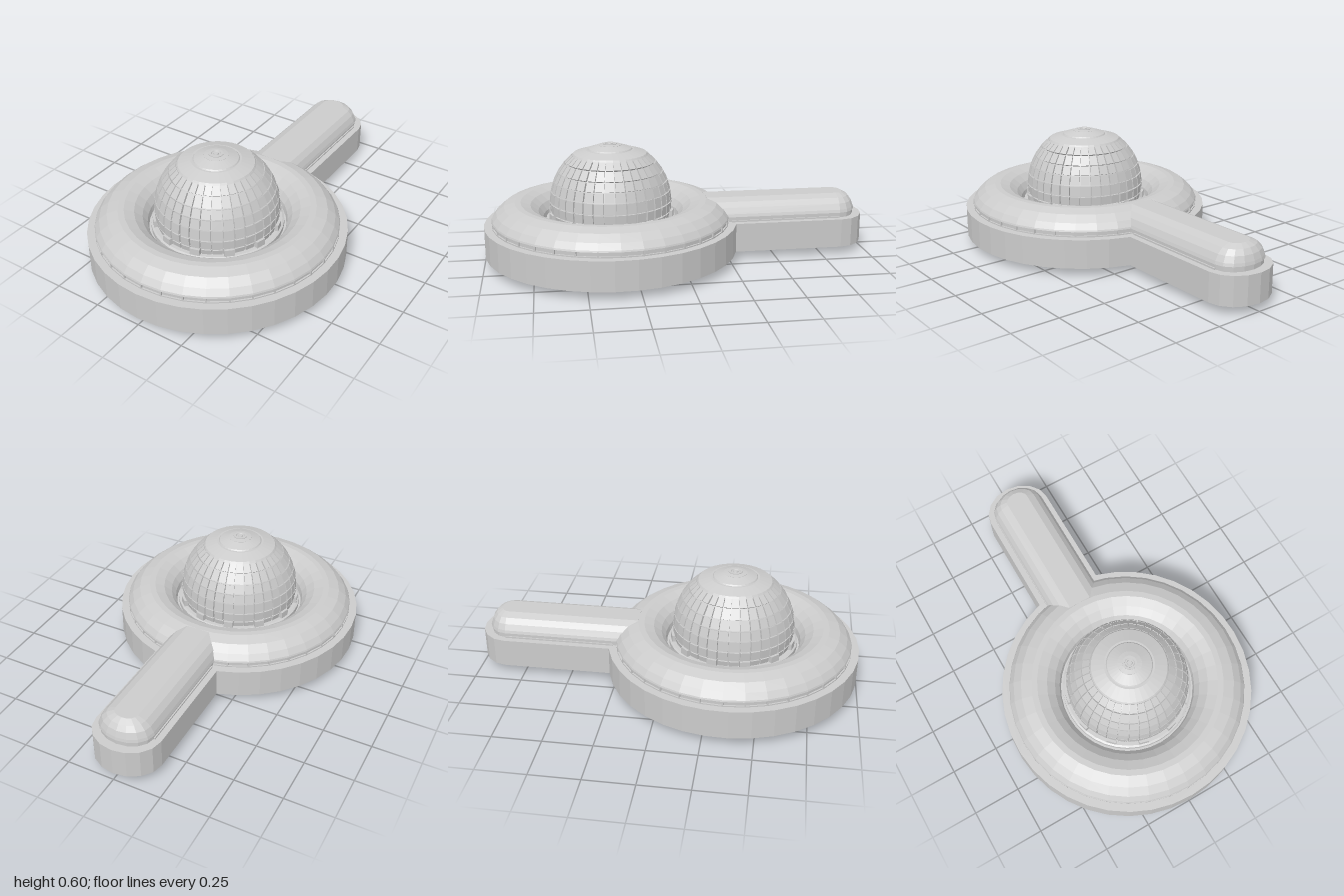
import * as THREE from 'three';
import { mergeGeometries } from 'three/addons/utils/BufferGeometryUtils.js';

const SIDES = 36;
const CZ = 0.345; // centre of the round hall
const RAD = Math.PI / 180;
const material = new THREE.MeshStandardMaterial({ color: 0xcccccc, flatShading: true, side: THREE.DoubleSide });

function mesh(name, geometry, parent) {
  const m = new THREE.Mesh(geometry, material);
  m.name = name;
  parent.add(m);
  return m;
}

function lathe(profile, sides = SIDES, start = 0, sweep = Math.PI * 2) {
  return new THREE.LatheGeometry(profile.map(([r, y]) => new THREE.Vector2(r, y)), sides, start, sweep);
}

// Box bent around a centre at height cy: angles in degrees, radii inside and outside
function bentBox(phi0, phi1, el0, el1, r0, r1, cy) {
  const g = new THREE.BoxGeometry(1, 1, 1);
  const p = g.attributes.position;
  for (let i = 0; i < p.count; i++) {
    const phi = (phi0 + (p.getX(i) + 0.5) * (phi1 - phi0)) * RAD;
    const el = (el0 + (p.getY(i) + 0.5) * (el1 - el0)) * RAD;
    const r = r0 + (p.getZ(i) + 0.5) * (r1 - r0);
    p.setXYZ(i, r * Math.cos(el) * Math.sin(phi), cy + r * Math.sin(el), r * Math.cos(el) * Math.cos(phi));
  }
  g.computeVertexNormals();
  return g;
}

// Copies of a box standing around a circle
function boxRing(count, radius, y, size, offset = 0) {
  const list = [];
  for (let i = 0; i < count; i++) {
    const g = new THREE.BoxGeometry(...size);
    g.translate(0, y, radius);
    g.rotateY(((i + offset) / count) * Math.PI * 2);
    list.push(g);
  }
  return mergeGeometries(list);
}

// Keyhole outline: round hall with a round-ended arm
function keyholeShape(radius, halfWidth, armEnd, capLength) {
  const pts = [];
  const join = Math.asin(halfWidth / radius);
  const sweep = Math.PI * 2 - 2 * join;
  for (let i = 0; i <= 34; i++) {
    const a = Math.PI / 2 + join + (i / 34) * sweep;
    pts.push(new THREE.Vector2(radius * Math.cos(a), -CZ + radius * Math.sin(a)));
  }
  for (let i = 0; i <= 8; i++) {
    const a = (i / 8) * Math.PI;
    pts.push(new THREE.Vector2(halfWidth * Math.cos(a), armEnd - capLength + capLength * Math.sin(a)));
  }
  return new THREE.Shape(pts);
}

export function createModel() {
  const model = new THREE.Group();
  model.name = 'domedBuilding';

  // Flat keyhole plinth
  const plinth = new THREE.ExtrudeGeometry(keyholeShape(0.655, 0.177, 1, 0.15), { depth: 0.15, bevelEnabled: false });
  plinth.rotateX(-Math.PI / 2);
  mesh('plinth', plinth, model).position.y = 0.04;

  const hall = new THREE.Group();
  hall.name = 'roundHall';
  hall.position.z = CZ;
  model.add(hall);

  // Rounded ring roof with its belt
  mesh('ringRoof', lathe([
    [0.607, 0.185], [0.607, 0.217], [0.615, 0.217], [0.612, 0.225], [0.59, 0.255], [0.55, 0.287], [0.495, 0.304],
    [0.465, 0.304], [0.415, 0.287], [0.375, 0.255], [0.352, 0.22], [0.345, 0.185],
  ]), hall);
  mesh('beltSill', lathe([[0.615, 0.185], [0.615, 0.196], [0.605, 0.196]]), hall);
  mesh('beltPosts', boxRing(SIDES, 0.608, 0.207, [0.008, 0.022, 0.014]), hall);

  // Dome core and stepped cap
  mesh('domeCore', lathe([
    [0.29, 0.185], [0.298, 0.235], [0.303, 0.295], [0.297, 0.355], [0.278, 0.41], [0.256, 0.455], [0.22, 0.505],
    [0.175, 0.54], [0.195, 0.54], [0.188, 0.549], [0.125, 0.568], [0.115, 0.568], [0.11, 0.574], [0.06, 0.59], [0, 0.592],
  ]), hall);

  // Raised dome panels in rows
  const rows = [-16, -8, 1.5, 12, 21.5, 31, 42, 52];
  const panels = [];
  const step = 360 / SIDES;
  for (let r = 0; r < rows.length - 1; r++) {
    for (let i = 0; i < SIDES; i++) {
      const gap = i % 6 === 0 ? 1.1 : 0.7;
      panels.push(bentBox(i * step + gap, (i + 1) * step - 0.7, rows[r] + 0.6, rows[r + 1] - 0.6, 0.29, 0.315, 0.295));
    }
  }
  mesh('domePanels', mergeGeometries(panels), hall);

  // Finial: small stepped rings on the crown
  mesh('finial', lathe([
    [0.06, 0.586], [0.06, 0.591], [0.036, 0.595], [0.036, 0.598], [0.024, 0.598], [0.022, 0.594], [0.014, 0.594],
    [0.012, 0.6], [0, 0.6],
  ], 18), hall);

  // Low collar and doorways around the foot of the dome
  mesh('domeCollar', lathe([[0.335, 0.185], [0.335, 0.215], [0.325, 0.22], [0.3, 0.22]]), hall);
  mesh('doorways', boxRing(12, 0.312, 0.222, [0.05, 0.065, 0.025], 0.5), hall);

  // Stepped bowl under the hall
  const bowl = [[0, 0], [0.1, 0]];
  for (let i = 1; i <= 8; i++) {
    const r = 0.1 + i * 0.0125;
    const y = 0.04 * Math.pow(i / 8, 1.2);
    bowl.push([r - 0.003, y - 0.001], [r, y]);
  }
  mesh('underBowl', lathe(bowl), hall);

  // Vaulted corridor roof along the arm
  const arm = new THREE.Group();
  arm.name = 'corridor';
  model.add(arm);
  const vault = [[0.138, 0.185], [0.138, 0.217], [0.145, 0.217], [0.14, 0.232], [0.125, 0.262], [0.1, 0.287], [0.06, 0.304]];
  const section = new THREE.Shape([
    ...vault.map(([x, y]) => new THREE.Vector2(x, y)),
    ...vault.map(([x, y]) => new THREE.Vector2(-x, y)).reverse(),
  ]);
  const roof = new THREE.ExtrudeGeometry(section, { depth: 0.7, bevelEnabled: false });
  mesh('corridorRoof', roof, arm).position.z = -0.85;
  const end = mesh('corridorRoofEnd', lathe([...vault, [0, 0.304]], 8, Math.PI / 2, Math.PI), arm);
  end.position.z = -0.85;
  end.scale.z = 0.76;

  // Thin sill strips beside the corridor roof
  for (const side of [-1, 1]) {
    mesh('corridorSill', new THREE.BoxGeometry(0.008, 0.012, 0.58), arm).position.set(side * 0.141, 0.192, -0.56);
  }

  // Slim plates under the arm
  for (const z of [-0.34, -0.575, -0.81]) {
    mesh('underPlate', new THREE.BoxGeometry(0.012, 0.008, 0.11), arm).position.set(0, 0.04, z);
  }
  return model;
}
